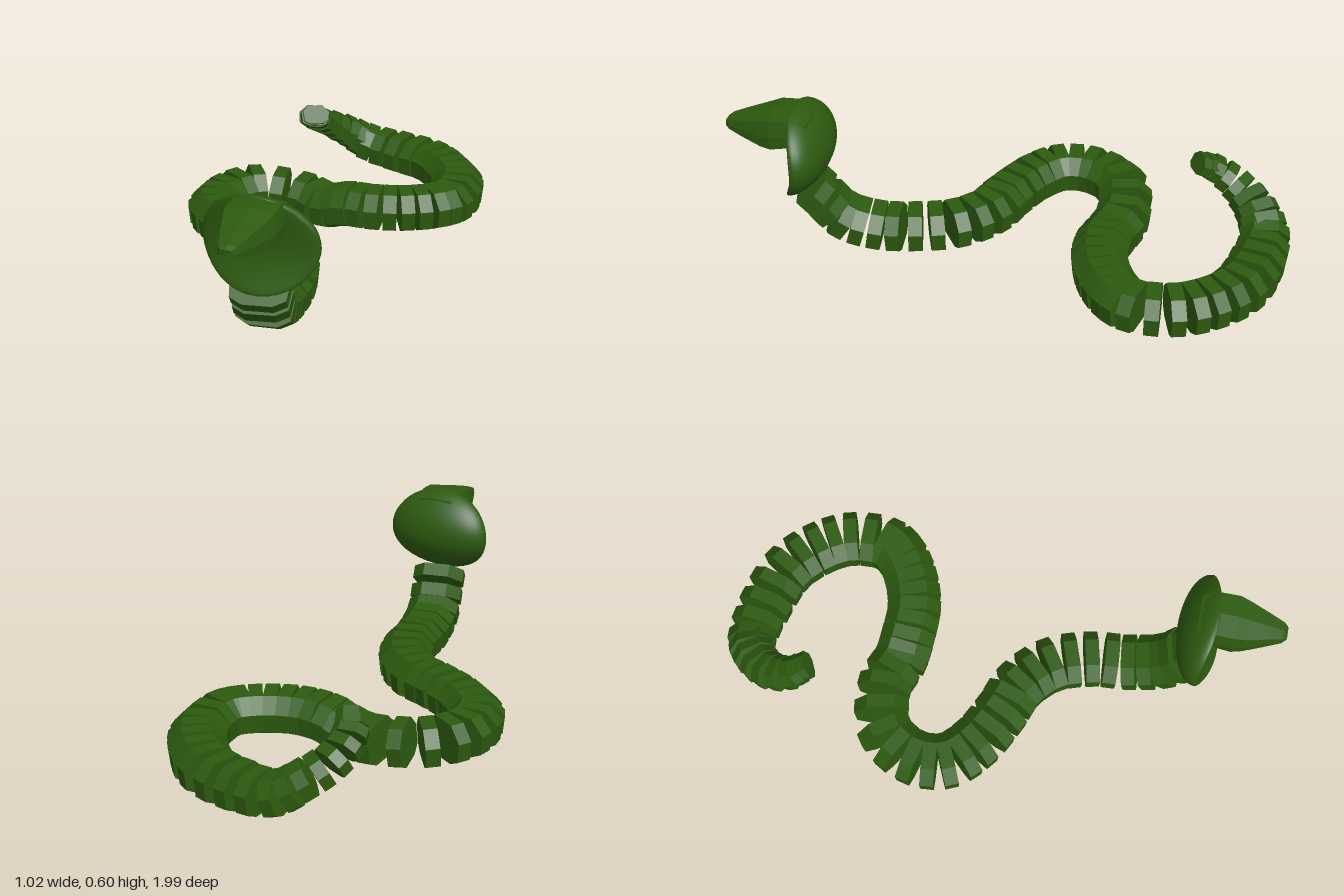
import * as THREE from 'three';
import { toCreasedNormals } from 'three/addons/utils/BufferGeometryUtils.js';

const green = new THREE.MeshStandardMaterial({ color: 0x2d5a0f, flatShading: true });
const smoothGreen = new THREE.MeshStandardMaterial({ color: 0x2d5a0f });

// Spine from neck to tail tip; every second body segment sits on a point
const SPINE = [
  [0.14, 0.255, 0.70], [0.12, 0.145, 0.61], [0.105, 0.105, 0.49], [0.09, 0.105, 0.35],
  [0.04, 0.105, 0.21], [-0.06, 0.105, 0.11], [-0.18, 0.105, 0.06], [-0.31, 0.105, -0.01],
  [-0.395, 0.105, -0.10], [-0.405, 0.105, -0.22], [-0.33, 0.105, -0.34], [-0.15, 0.088, -0.38],
  [-0.03, 0.078, -0.345], [0.05, 0.1, -0.335], [0.16, 0.105, -0.335], [0.27, 0.105, -0.37],
  [0.36, 0.105, -0.43], [0.40, 0.105, -0.49], [0.395, 0.105, -0.63], [0.335, 0.105, -0.74],
  [0.23, 0.105, -0.835], [0.075, 0.105, -0.885], [-0.07, 0.12, -0.90], [-0.15, 0.17, -0.865],
  [-0.215, 0.225, -0.79], [-0.23, 0.28, -0.70], [-0.205, 0.31, -0.65],
].map((p) => new THREE.Vector3(...p));

// One bevelled slab of the body, centred on its own origin
function segmentGeometry() {
  const half = [[0.05, -0.071], [0.093, -0.048], [0.1, 0.022], [0.05, 0.073]];
  const outline = [...half, ...half.map(([x, y]) => [-x, y]).reverse()];
  const shape = new THREE.Shape(outline.map(([x, y]) => new THREE.Vector2(x, y)));
  return new THREE.ExtrudeGeometry(shape, { depth: 0.05, bevelEnabled: false }).translate(0, 0, -0.025);
}

function createBody() {
  const body = new THREE.Group();
  body.name = 'body';
  const curve = new THREE.CatmullRomCurve3(SPINE);
  const geometry = segmentGeometry();
  const count = SPINE.length * 2 - 1;
  for (let i = 0; i < count; i++) {
    const t = i / (count - 1);
    const segment = new THREE.Mesh(geometry, green);
    segment.name = `bodySegment${i + 1}`;
    segment.position.copy(curve.getPoint(t));
    segment.lookAt(segment.position.clone().sub(curve.getTangent(t)));
    // The tail narrows over the last stretch
    const taper = 1 - 0.5 * THREE.MathUtils.clamp((t - 0.8) / 0.2, 0, 1);
    segment.scale.set(taper, taper, 0.4 + 0.6 * taper);
    body.add(segment);
  }
  return body;
}

// Hood: a disc with a domed back, its top and bottom curling forward
function createHood() {
  const geometry = new THREE.SphereGeometry(1, 40, 24);
  const pos = geometry.attributes.position;
  for (let i = 0; i < pos.count; i++) {
    const x = pos.getX(i), y = pos.getY(i), z = pos.getZ(i);
    const rim = 0.715 + (y < 0 ? 0.07 : 0.04) * y * y;
    pos.setXYZ(i, 0.15 + 0.203 * x, 0.437 + 0.165 * y, rim + (z > 0 ? 0.03 : 0.088) * z);
  }
  const hood = new THREE.Mesh(toCreasedNormals(geometry, 0.9), smoothGreen);
  hood.name = 'hood';
  return hood;
}

// Head: hexagonal sections lofted from the hood to the snout
function createHead() {
  // z, half width, bottom, top
  const sections = [
    [0.69, 0.075, 0.51, 0.575], [0.75, 0.088, 0.485, 0.598], [0.82, 0.09, 0.472, 0.594],
    [0.86, 0.08, 0.475, 0.58], [0.93, 0.055, 0.49, 0.56], [0.985, 0.035, 0.505, 0.542],
    [1.0, 0.022, 0.512, 0.532],
  ];
  const sides = 7;
  const points = [], index = [];
  sections.forEach(([z, w, low, high], s) => {
    const mid = low + (high - low) * 0.4, shoulder = high - (high - low) * 0.07;
    const ring = [[-0.95 * w, low], [0.95 * w, low], [w, mid], [0.9 * w, shoulder], [0, high],
      [-0.9 * w, shoulder], [-w, mid]];
    ring.forEach(([x, y]) => points.push(0.16 + x, y, z));
    if (s === 0) return;
    for (let k = 0; k < sides; k++) {
      const a = (s - 1) * sides + k, b = (s - 1) * sides + (k + 1) % sides;
      index.push(a, b, b + sides, a, b + sides, a + sides);
    }
  });
  // Close both ends
  const last = (sections.length - 1) * sides;
  for (let k = 1; k < sides - 1; k++) {
    index.push(0, k + 1, k, last, last + k, last + k + 1);
  }
  const geometry = new THREE.BufferGeometry();
  geometry.setAttribute('position', new THREE.Float32BufferAttribute(points, 3));
  geometry.setIndex(index);
  geometry.computeVertexNormals();
  const head = new THREE.Mesh(geometry, green);
  head.name = 'head';
  return head;
}

export function createModel() {
  const snake = new THREE.Group();
  snake.name = 'snake';
  snake.add(createBody(), createHood(), createHead());
  return snake;
}
